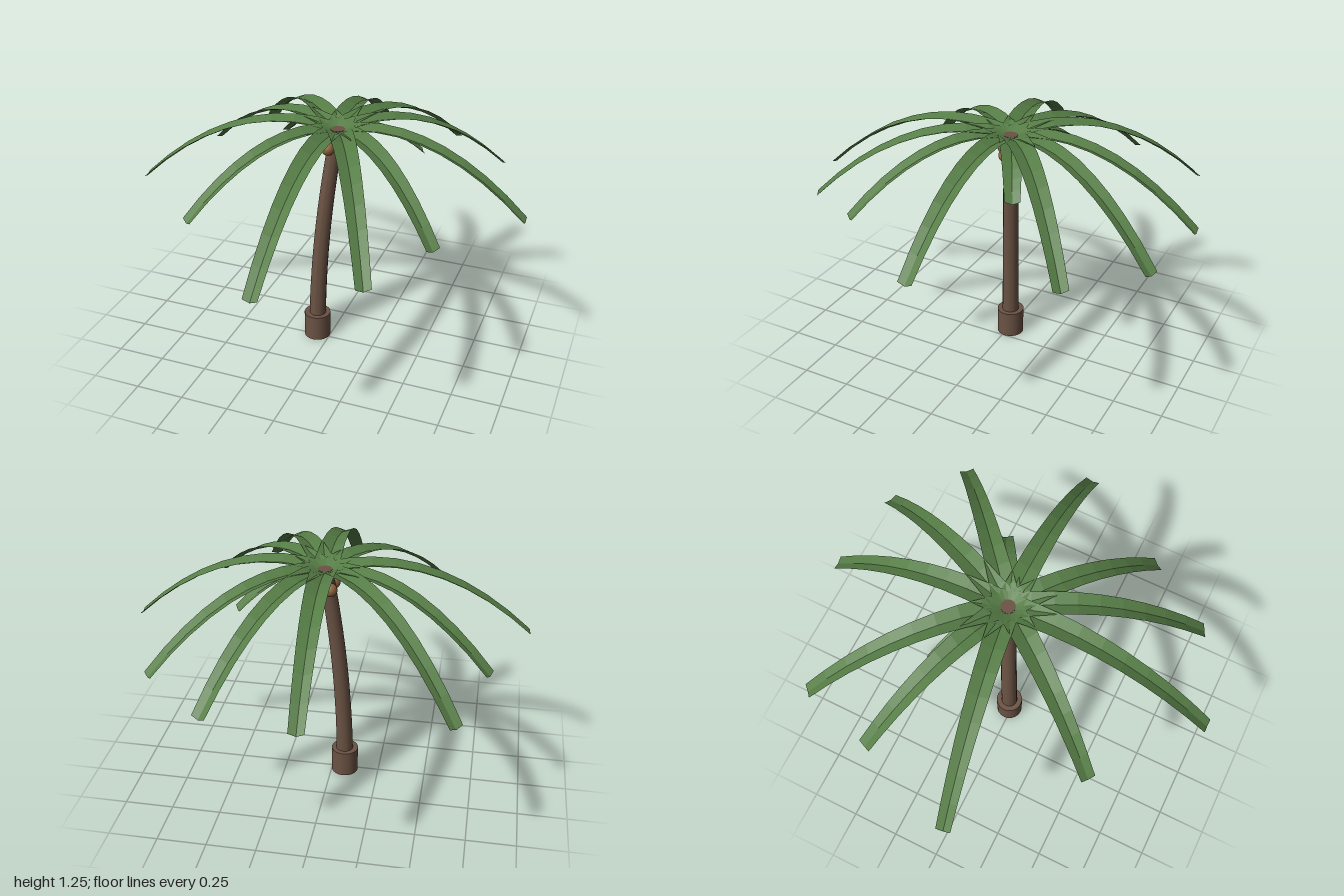
import * as THREE from 'three';

const trunkBrown = new THREE.MeshStandardMaterial({ color: 0x6b5344 });
trunkBrown.name = 'trunkBrown';
const frondGreen = new THREE.MeshStandardMaterial({ color: 0x567d46, flatShading: true, side: THREE.DoubleSide });
frondGreen.name = 'frondGreen';
const coconutBrown = new THREE.MeshStandardMaterial({ color: 0x8f6540 });
coconutBrown.name = 'coconutBrown';

const CROWN = new THREE.Vector3(0.025, 1.212, -0.06);

// Centre line of the leaning trunk at height y
function trunkCentre(y) {
  const t = y / 1.2;
  return [-0.07 + 0.095 * t * t, -0.015 - 0.045 * t * t];
}

// Frond along +z: a V-folded strip that rises a little, then droops
function frondGeometry(length) {
  const segments = 9, positions = [], index = [];
  for (let i = 0; i <= segments; i++) {
    const t = i / segments;
    const half = 0.065 - 0.029 * t;
    const fold = 0.36 * half;
    const y = length * (0.28 * t - 0.62 * t * t);
    const z = length * t;
    positions.push(-half, y, z, 0, y - fold, z, half, y, z);
    if (i === segments) continue;
    for (let side = 0; side < 2; side++) {
      const a = i * 3 + side, b = a + 1, c = a + 3, d = a + 4;
      index.push(a, c, b, b, c, d);
    }
  }
  const geometry = new THREE.BufferGeometry();
  geometry.setAttribute('position', new THREE.Float32BufferAttribute(positions, 3));
  geometry.setIndex(index);
  geometry.computeVertexNormals();
  return geometry;
}

export function createModel() {
  const model = new THREE.Group();
  model.name = 'palmTree';

  // Root collar
  const base = new THREE.Mesh(new THREE.CylinderGeometry(0.07, 0.07, 0.14, 20), trunkBrown);
  base.name = 'trunkBase';
  base.position.set(-0.07, 0.07, -0.015);
  model.add(base);

  // Trunk: a tapered cylinder bent along its centre line
  const height = 1.2;
  const trunkGeometry = new THREE.CylinderGeometry(0.036, 0.045, height, 16, 14);
  trunkGeometry.translate(0, height / 2 + 0.005, 0);
  const p = trunkGeometry.attributes.position;
  for (let i = 0; i < p.count; i++) {
    const [x, z] = trunkCentre(p.getY(i));
    p.setX(i, p.getX(i) + x);
    p.setZ(i, p.getZ(i) + z);
  }
  trunkGeometry.computeVertexNormals();
  const trunk = new THREE.Mesh(trunkGeometry, trunkBrown);
  trunk.name = 'trunk';
  model.add(trunk);

  // Coconuts around the top of the trunk
  for (let i = 0; i < 3; i++) {
    const angle = (i * Math.PI * 2) / 3;
    const coconut = new THREE.Mesh(new THREE.SphereGeometry(0.034, 16, 12), coconutBrown);
    coconut.name = 'coconut' + (i + 1);
    coconut.position.set(0.02 + 0.055 * Math.cos(angle), 1.115, -0.056 + 0.055 * Math.sin(angle));
    model.add(coconut);
  }

  // Fronds, given by the x and z of each tip
  const tips = [
    [-0.02, -1], [0.42, -0.94], [0.74, -0.66], [0.98, -0.045], [0.665, 0.455],
    [0.46, 0.8], [0.025, 1], [-0.48, 0.6], [-0.98, 0.1], [-0.795, -0.41],
    [-0.67, -0.8], [0.41, -0.265], [-0.335, -0.285],
  ];
  const crown = new THREE.Group();
  crown.name = 'crown';
  crown.position.copy(CROWN);
  tips.forEach(([x, z], i) => {
    const dx = x - CROWN.x, dz = z - CROWN.z;
    const frond = new THREE.Mesh(frondGeometry(Math.hypot(dx, dz)), frondGreen);
    frond.name = 'frond' + (i + 1);
    frond.rotation.y = Math.atan2(dx, dz);
    crown.add(frond);
  });
  model.add(crown);

  return model;
}
